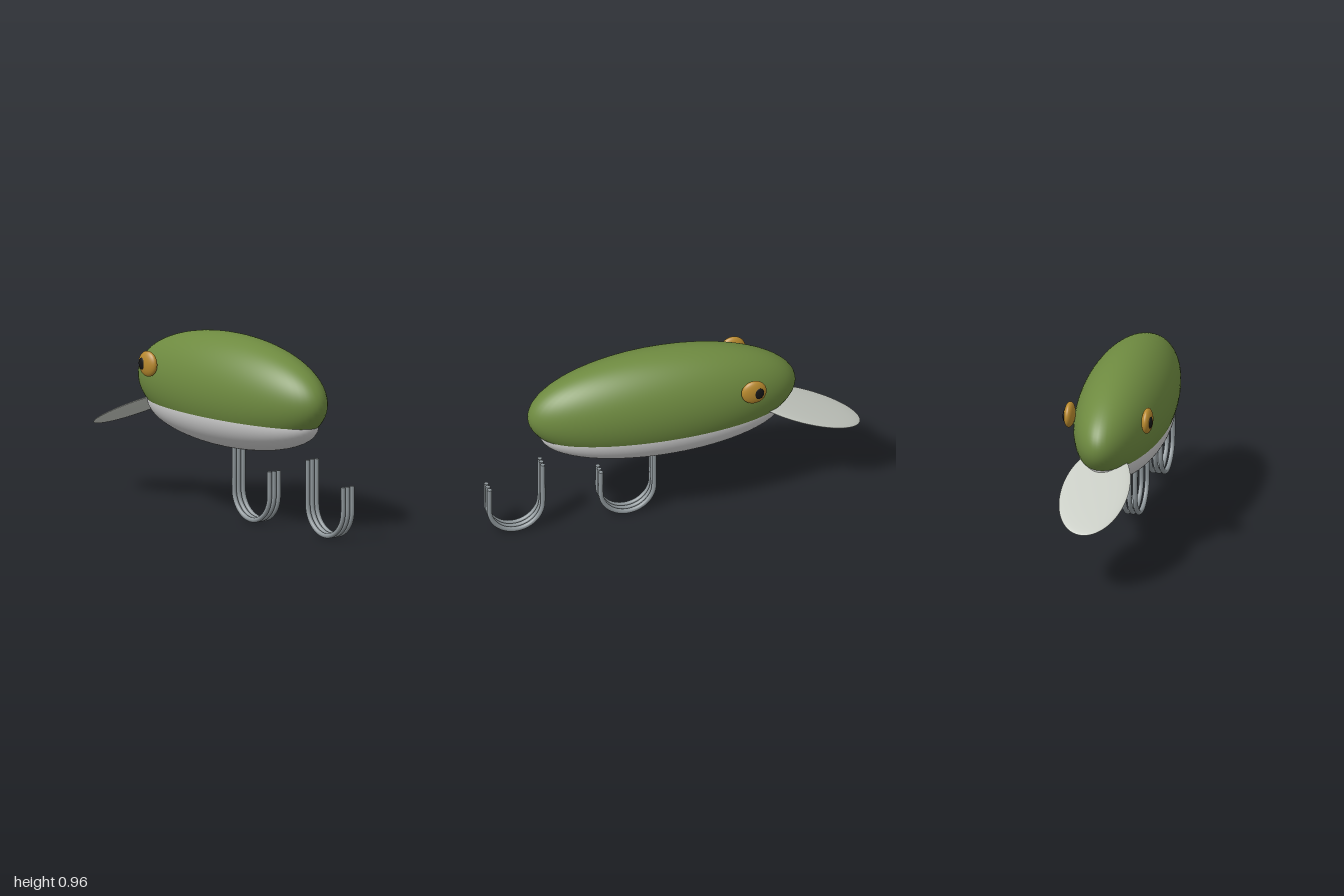
import * as THREE from 'three';

const mat = (color, rest = {}) => new THREE.MeshStandardMaterial({ color, ...rest });

const green = mat(0x6e8a40, { side: THREE.DoubleSide });
const pale = mat(0xcccccc, { side: THREE.DoubleSide });
const clear = mat(0xc8ccc4);
const amber = mat(0xb8892e);
const black = mat(0x151515);
const steel = mat(0x8c9498);

// Ellipsoid, optionally only the band between two polar angles
function ellipsoid(name, material, radii, position, start = 0, length = Math.PI) {
  const geo = new THREE.SphereGeometry(1, 64, 40, 0, Math.PI * 2, start, length);
  geo.scale(...radii);
  const mesh = new THREE.Mesh(geo, material);
  mesh.name = name;
  mesh.position.set(...position);
  return mesh;
}

// One J-shaped wire: shank, half-circle bend, short point
function hookGeometry(wire) {
  const r = 0.1425, cy = r + wire, shankTop = 0.39, tip = 0.285;
  const pts = [new THREE.Vector3(-r, shankTop, 0), new THREE.Vector3(-r, 0.28, 0)];
  for (let i = 0; i <= 16; i++) {
    const a = Math.PI + (Math.PI * i) / 16;
    pts.push(new THREE.Vector3(Math.cos(a) * r, cy + Math.sin(a) * r, 0));
  }
  pts.push(new THREE.Vector3(r, 0.22, 0), new THREE.Vector3(r, tip, 0));
  const curve = new THREE.CatmullRomCurve3(pts, false, 'centripetal');
  return { geo: new THREE.TubeGeometry(curve, 80, wire, 14), ends: [[-r, shankTop], [r, tip]] };
}

function trebleHook(name, x) {
  const group = new THREE.Group();
  group.name = name;
  const wire = 0.0125;
  const { geo, ends } = hookGeometry(wire);
  const cap = new THREE.CircleGeometry(wire, 14).rotateX(-Math.PI / 2);
  for (const z of [-0.03, 0, 0.03]) {
    const hook = new THREE.Mesh(geo, steel);
    hook.name = 'hookWire';
    hook.position.z = z;
    // Flat end caps
    for (const [ex, ey] of ends) {
      const end = new THREE.Mesh(cap, steel);
      end.name = 'hookEnd';
      end.position.set(ex, ey, 0);
      hook.add(end);
    }
    group.add(hook);
  }
  group.position.x = x;
  return group;
}

export function createModel() {
  const model = new THREE.Group();
  model.name = 'fishingLure';

  // Upper body, cut flat at the seam where the belly begins
  const cx = 0.058, cy = 0.67, ry = 0.29, seam = 0.547;
  const cut = Math.acos((seam - cy) / ry);
  const rim = Math.sin(cut);
  model.add(ellipsoid('upperBody', green, [0.713, ry, 0.234], [cx, cy, 0], 0, cut));

  // Shallow belly sharing the seam outline
  model.add(ellipsoid('belly', pale, [0.713 * rim, 0.18, 0.234 * rim], [cx, seam, 0], Math.PI / 2, Math.PI / 2));

  // Diving lip sloping down from the nose
  const lip = ellipsoid('divingLip', clear, [0.326, 0.016, 0.177], [-0.7, 0.472, 0]);
  lip.rotation.z = 0.4;
  model.add(lip);

  // Eyes on both sides
  for (const side of [1, -1]) {
    const eye = new THREE.Group();
    eye.name = side > 0 ? 'frontEye' : 'backEye';
    eye.add(ellipsoid('iris', amber, [0.067, 0.067, 0.028], [-0.38, 0.762, side * 0.205]));
    eye.add(ellipsoid('pupil', black, [0.028, 0.033, 0.011], [-0.4, 0.762, side * 0.225]));
    model.add(eye);
  }

  // Belly and tail hooks
  model.add(trebleHook('bellyHook', 0.247), trebleHook('tailHook', 0.842));
  return model;
}
